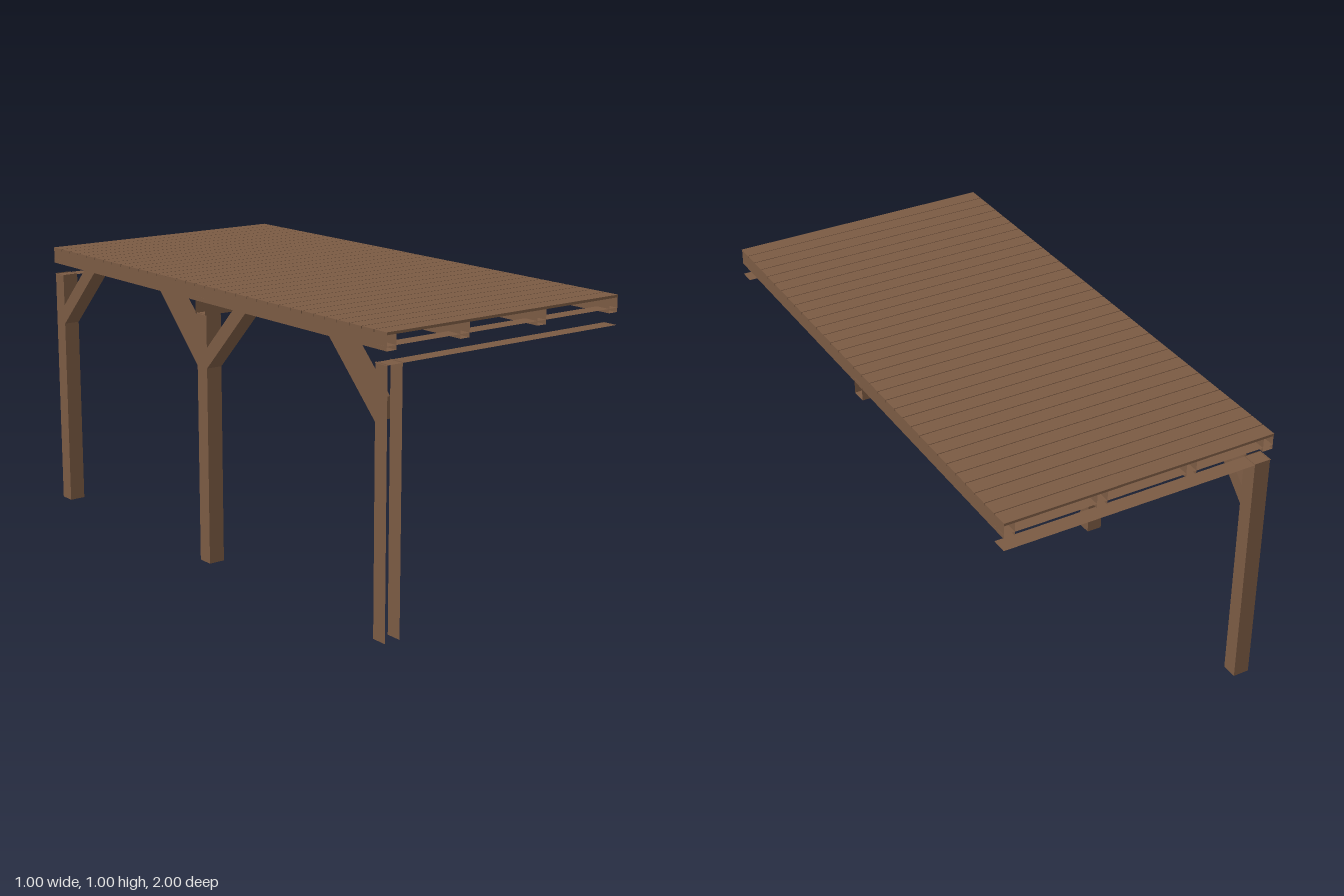
import * as THREE from 'three';

// Box given by its min and max corners; `open` lists faces left out
const SIDES = ['+x', '-x', '+y', '-y', '+z', '-z'];
function shell([x0, y0, z0], [x1, y1, z1], open = []) {
  const geo = new THREE.BoxGeometry(x1 - x0, y1 - y0, z1 - z0);
  const index = Array.from(geo.index.array);
  geo.setIndex(SIDES.flatMap((s, i) => (open.includes(s) ? [] : index.slice(i * 6, i * 6 + 6))));
  geo.clearGroups();
  geo.translate((x0 + x1) / 2, (y0 + y1) / 2, (z0 + z1) / 2);
  return geo;
}

export function createModel() {
  const model = new THREE.Group();
  const wood = new THREE.MeshStandardMaterial({ color: 0x7a5a43, side: THREE.DoubleSide });
  const add = (name, geo) => {
    const mesh = new THREE.Mesh(geo, wood);
    mesh.name = name;
    model.add(mesh);
  };

  const postX = [-0.495, -0.435];
  const bays = [
    { name: 'front', z: 0.97 },
    { name: 'middle', z: 0 },
    { name: 'back', z: -0.97 },
  ];

  // Posts along one side, each carrying a cantilevered cross beam
  for (const { name, z } of bays) {
    const postOpen = ['+y', '-y'];
    if (name === 'front') postOpen.push('+z', '-z');
    add(`${name}Post`, shell([postX[0], 0, z - 0.029], [postX[1], 0.9, z + 0.029], postOpen));

    const beamOpen = ['+x', '-x'];
    if (name !== 'middle') beamOpen.push('+z', '-z');
    add(`${name}Beam`, shell([-0.5, 0.897, z - 0.029], [0.5, 0.956, z + 0.029], beamOpen));
  }

  // Diagonal knee braces, from a post face up to the edge purlin
  const brace = (name, z, dir) => {
    const corners = [[0, 0.71], [0, 0.782], [0.16, 0.942], [0.232, 0.942]];
    const shape = new THREE.Shape(corners.map(([d, y]) => new THREE.Vector2(-(z + dir * d), y)));
    const geo = new THREE.ExtrudeGeometry(shape, { depth: postX[1] - postX[0], bevelEnabled: false });
    geo.rotateY(Math.PI / 2).translate(postX[0], 0, 0);
    add(name, geo);
  };
  brace('frontBrace', 0.941, -1);
  brace('middleFrontBrace', 0.029, 1);
  brace('middleBackBrace', -0.029, -1);
  brace('backBrace', -0.941, 1);

  // Lengthwise purlins, hollow at the ends
  for (const x of [-0.48, -0.182, 0.15, 0.48]) {
    add('purlin', shell([x - 0.019, 0.941, -0.999], [x + 0.019, 0.991, 0.999], ['+z', '-z']));
  }

  // Roof boards with narrow gaps
  const count = 33, pitch = 2 / count, gap = 0.003;
  for (let i = 0; i < count; i++) {
    const z0 = -1 + i * pitch;
    const start = i === 0 ? z0 : z0 + gap / 2;
    const end = i === count - 1 ? z0 + pitch : z0 + pitch - gap / 2;
    add('roofBoard', shell([-0.5, 0.991, start], [0.5, 1, end]));
  }

  return model;
}
